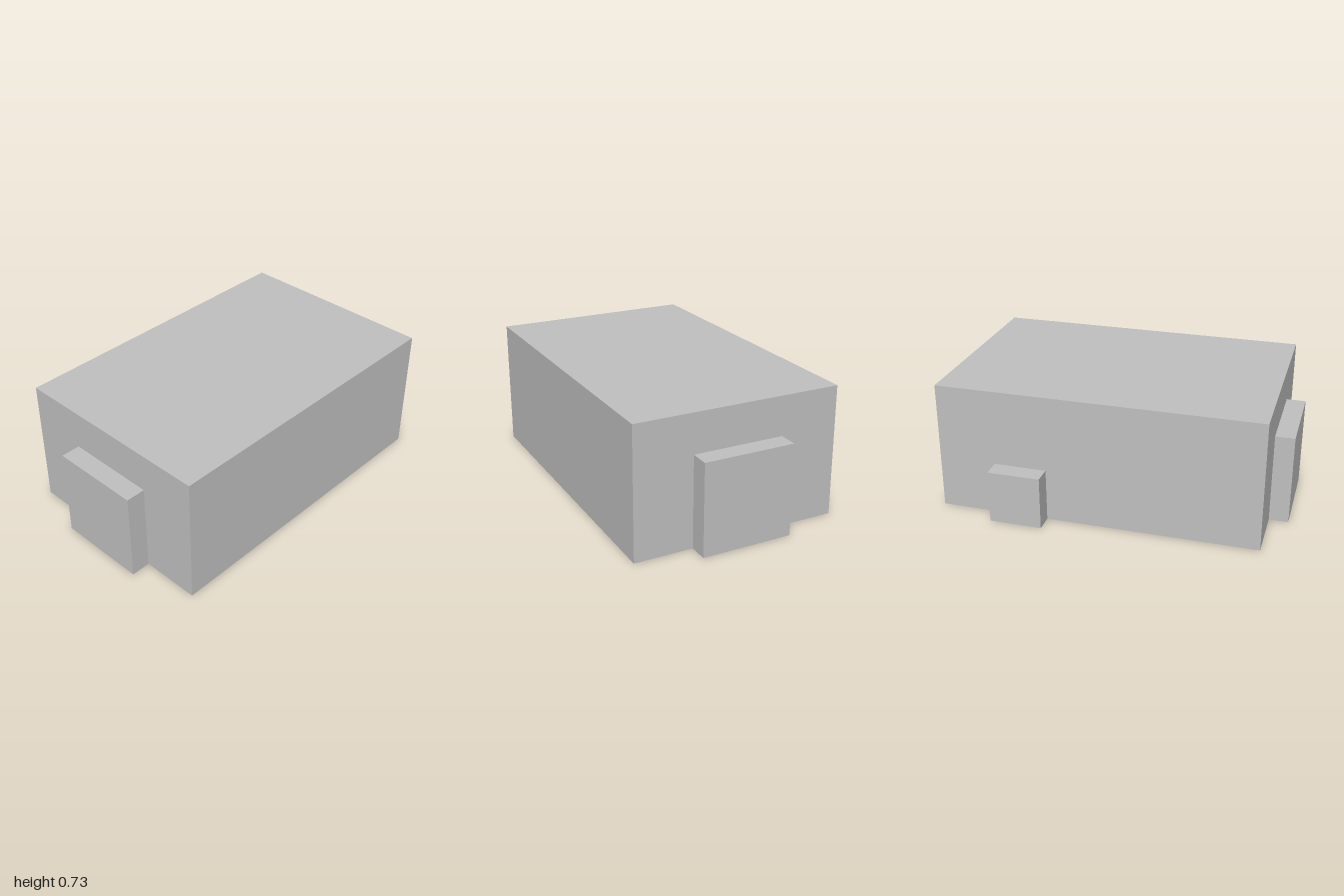
import * as THREE from 'three';

export function createModel() {
  const group = new THREE.Group();
  const grey = new THREE.MeshStandardMaterial({ color: 0xc0c0c0 });
  grey.name = 'light grey';

  // Box standing on the ground, given by its x and z extents and height
  const addBlock = (name, x0, x1, height, z0, z1) => {
    const mesh = new THREE.Mesh(new THREE.BoxGeometry(x1 - x0, height, z1 - z0), grey);
    mesh.name = name;
    mesh.position.set((x0 + x1) / 2, height / 2, (z0 + z1) / 2);
    group.add(mesh);
  };

  // Main building
  addBlock('mainHall', -0.523, 0.627, 0.725, -0.893, 0.893);

  // Matching large doors at both ends
  addBlock('frontDoor', -0.2, 0.303, 0.508, 0.893, 1);
  addBlock('backDoor', -0.2, 0.303, 0.508, -1, -0.893);

  // Small door on the right side
  addBlock('sideDoor', -0.627, -0.523, 0.298, -0.573, -0.28);

  return group;
}
